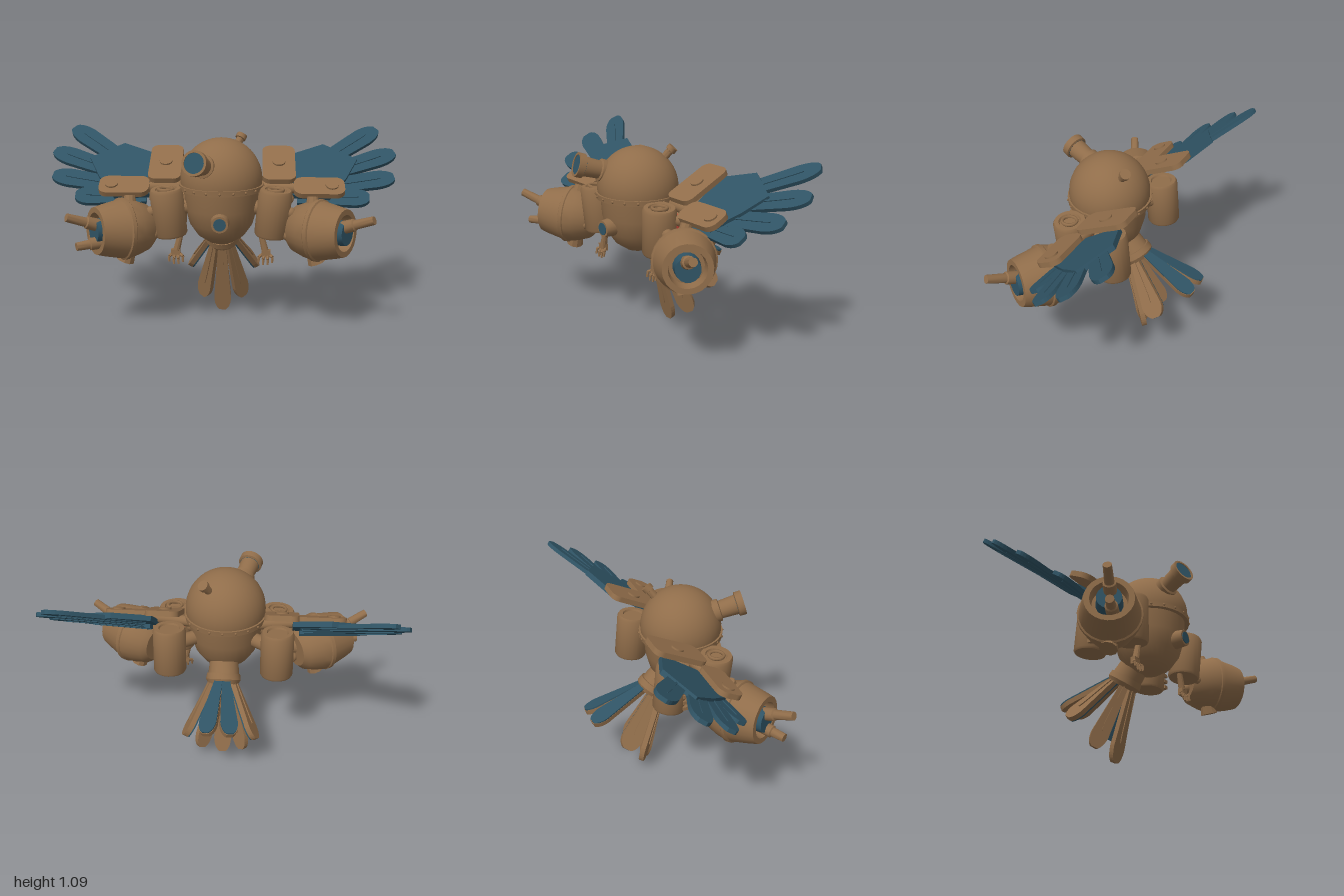
import * as THREE from 'three';
import { toCreasedNormals } from 'three/addons/utils/BufferGeometryUtils.js';

const V = (x, y, z) => new THREE.Vector3(x, y, z);
const paint = (name, color) => Object.assign(new THREE.MeshStandardMaterial({ color }), { name });

export function createModel() {
  const brown = paint('bronze', 0x906d4a);
  const blue = paint('dark teal', 0x2f5364);
  const red = paint('red', 0xc9483a);
  const root = new THREE.Group();
  root.name = 'mechanicalBird';

  const add = (parent, name, geo, mat, pos) => {
    const m = new THREE.Mesh(geo, mat);
    m.name = name;
    if (pos) m.position.copy(pos);
    parent.add(m);
    return m;
  };
  // Turned part whose profile [radius, distance] runs from a towards b
  const turned = (parent, name, mat, a, b, profile, sides = 24) => {
    const pts = profile.map(([r, t]) => new THREE.Vector2(r, t));
    const geo = toCreasedNormals(new THREE.LatheGeometry(pts, sides), 0.6);
    const m = add(parent, name, geo, mat, a);
    m.quaternion.setFromUnitVectors(V(0, 1, 0), b.clone().sub(a).normalize());
    return m;
  };
  // Tapered solid rod from a to b
  const rod = (parent, name, mat, a, b, ra, rb = ra, sides = 16) => {
    const l = a.distanceTo(b);
    return turned(parent, name, mat, a, b, [[0, 0], [ra, 0], [rb, l], [0, l]], sides);
  };
  // Flat outline extruded along a normal, its y axis laid along dir
  const slab = (parent, name, mat, shape, th, origin, dir, normal) => {
    const y = dir.clone().normalize();
    const x = y.clone().cross(normal).normalize();
    const z = x.clone().cross(y);
    const geo = new THREE.ExtrudeGeometry(shape, { depth: th, bevelEnabled: false, curveSegments: 6 });
    geo.translate(0, 0, -th / 2);
    geo.applyMatrix4(new THREE.Matrix4().makeBasis(x, y, z));
    return add(parent, name, geo, mat, origin);
  };
  const featherShape = (l, w0, w1) => {
    const s = new THREE.Shape();
    s.moveTo(-w0 / 2, 0);
    s.lineTo(w0 / 2, 0);
    s.lineTo(w1 / 2, l * 0.8);
    s.quadraticCurveTo(w1 * 0.48, l * 0.95, w1 * 0.18, l);
    s.lineTo(-w1 * 0.18, l);
    s.quadraticCurveTo(-w1 * 0.48, l * 0.95, -w1 / 2, l * 0.8);
    return s;
  };
  const roundRect = (w, h, r) => {
    const s = new THREE.Shape();
    s.absarc(w / 2 - r, h / 2 - r, r, 0, Math.PI / 2);
    s.absarc(-w / 2 + r, h / 2 - r, r, Math.PI / 2, Math.PI);
    s.absarc(-w / 2 + r, -h / 2 + r, r, Math.PI, Math.PI * 1.5);
    s.absarc(w / 2 - r, -h / 2 + r, r, Math.PI * 1.5, Math.PI * 2);
    return s;
  };

  // Body: lower bowl, rim band and dome
  const up = V(0, 1, 0);
  turned(root, 'lowerBody', brown, V(0, 0, 0.11), V(0, 1, 0.11),
    [[0, 0.49], [0.07, 0.495], [0.13, 0.535], [0.175, 0.6], [0.2, 0.69], [0.21, 0.81]], 32);
  turned(root, 'rimBand', brown, V(0, 0.795, 0.11), V(0, 1, 0.11),
    [[0.2, 0], [0.233, 0], [0.235, 0.03], [0.2, 0.03]], 32);
  add(root, 'dome', new THREE.SphereGeometry(0.226, 32, 20, 0, Math.PI * 2, 0, 1.8), brown, V(0, 0.85, 0.11));
  for (let i = 0; i < 20; i++) {
    const a = (i / 20) * Math.PI * 2;
    add(root, 'rimRivet', new THREE.SphereGeometry(0.008, 6, 5), brown,
      V(Math.sin(a) * 0.233, 0.81, 0.11 + Math.cos(a) * 0.233));
  }

  // Eye tube, rear knob and chest nozzle
  const e0 = V(-0.08, 0.94, 0.26), e1 = V(-0.13, 0.995, 0.43);
  turned(root, 'eyeTube', brown, e0, e1, [[0, 0], [0.063, 0], [0.063, 0.045], [0.05, 0.05], [0.055, 0.14],
    [0.068, 0.145], [0.068, 0.182], [0.055, 0.182], [0.055, 0.15]]);
  const eDir = e1.clone().sub(e0).normalize();
  const lens = e0.clone().addScaledVector(eDir, 0.14);
  rod(root, 'eyeLens', blue, lens, lens.clone().addScaledVector(eDir, 0.038), 0.057);
  turned(root, 'rearKnob', brown, V(0.08, 1.01, -0.01), V(0.115, 1.075, -0.055),
    [[0, 0], [0.022, 0], [0.022, 0.05], [0.03, 0.052], [0.03, 0.078], [0, 0.078]], 12);
  rod(root, 'chestNozzle', brown, V(0, 0.65, 0.26), V(0, 0.647, 0.35), 0.055, 0.046);
  rod(root, 'chestLens', blue, V(0, 0.647, 0.345), V(0, 0.647, 0.354), 0.034);

  // Tail: hub with a ring of feathers
  const hub = V(0, 0.47, -0.06), tailAxis = V(0, -0.82, -0.57).normalize();
  rod(root, 'tailNeck', brown, V(0, 0.58, 0.03), hub, 0.08, 0.09);
  turned(root, 'tailHub', brown, V(0, 0.5, -0.04), V(0, 0.5, -0.04).add(tailAxis),
    [[0, 0], [0.095, 0], [0.1, 0.035], [0.085, 0.06], [0, 0.06]]);
  const tail = (x, y, z, w, blueSide) => {
    const tip = V(x, y, z), off = tip.clone().sub(hub);
    const out = off.addScaledVector(tailAxis, -off.dot(tailAxis)).normalize();
    const base = hub.clone().addScaledVector(out, 0.06);
    const dir = tip.clone().sub(base), l = dir.length();
    const n = out.clone().addScaledVector(dir, -out.dot(dir) / (l * l)).normalize();
    slab(root, 'tailFeather', brown, featherShape(l, 0.045, w), 0.028, base, dir, n);
    slab(root, 'tailRib', brown, featherShape(l * 0.75, 0.01, 0.014), 0.04, base, dir, n);
    if (blueSide) slab(root, 'tailFeatherFace', blue, featherShape(l * 0.99, 0.043, w * 0.97), 0.008,
      base.clone().addScaledVector(n, blueSide * 0.018), dir, n);
  };
  tail(0, 0.005, -0.125, 0.1, 0);
  for (const s of [-1, 1]) {
    tail(s * 0.12, 0.07, -0.18, 0.1, 0);
    tail(s * 0.2, 0.24, -0.3, 0.12, -1);
    tail(s * 0.065, 0.37, -0.45, 0.1, 1);
  }

  // Everything on one side of the body, mirrored for the other
  const wingN = V(0, 0.82, 0.57), wingUp = V(0, 0.57, -0.82);
  const onWing = (x, z) => V(x, 0.71 + 0.7 * (0.12 - z), z);
  for (const side of [1, -1]) {
    const g = new THREE.Group();
    g.name = side > 0 ? 'leftSide' : 'rightSide';
    g.scale.x = side;
    root.add(g);

    // Wing
    [[0.45, -0.06, 0.9, -0.37], [0.45, -0.02, 0.99, -0.21], [0.45, 0.03, 0.97, -0.05], [0.42, 0.07, 0.82, 0.08]]
      .forEach(([x0, z0, x1, z1], i) => {
        const a = onWing(x0, z0).addScaledVector(wingN, -0.006 * i), b = onWing(x1, z1);
        const d = b.clone().sub(a), l = d.length();
        slab(g, 'wingFeather', blue, featherShape(l, 0.09, 0.125), 0.022, a, d, wingN);
        slab(g, 'wingRib', blue, featherShape(l * 0.85, 0.012, 0.01), 0.032, a, d, wingN);
      });
    const panel = new THREE.Shape([[0.38, 0.05], [0.6, 0.03], [0.7, 0.18], [0.77, 0.33], [0.58, 0.45], [0.38, 0.36]]
      .map(([x, y]) => new THREE.Vector2(x, y)));
    slab(g, 'wingPanel', blue, panel, 0.03, V(0, 0.718, 0.125), wingUp, wingN);

    // Sloped shoulder plates with round bosses
    const plN = V(0, 0.9, 0.44), plUp = V(0, 0.44, -0.9);
    const plate = (c, w, h, r, bx) => {
      slab(g, 'shoulderPlate', brown, roundRect(w, h, r), 0.03, c, plUp, plN);
      const p = c.clone().add(V(bx, 0, 0));
      rod(g, 'plateBoss', brown, p, p.clone().addScaledVector(plN, 0.024), 0.036);
    };
    plate(V(0.32, 0.9, -0.055), 0.185, 0.32, 0.045, 0);
    plate(V(0.54, 0.8, 0.1), 0.28, 0.15, 0.05, 0.07);
    rod(g, 'shoulderBar', brown, V(0.15, 0.79, 0.03), V(0.44, 0.79, 0.08), 0.03);

    // Front and rear tanks
    const tank = [[0, 0], [0.085, 0], [0.092, 0.012], [0.092, 0.25], [0.084, 0.265], [0.06, 0.265], [0.055, 0.255], [0, 0.255]];
    turned(g, 'frontTank', brown, V(0.275, 0.545, 0.175), V(0.3, 0.81, 0.19), tank);
    turned(g, 'rearTank', brown, V(0.3, 0.54, -0.085), V(0.3, 0.81, -0.06), tank);
    add(g, 'tankCapRing', new THREE.TorusGeometry(0.04, 0.01, 6, 16).rotateX(Math.PI / 2), brown, V(0.3, 0.805, 0.19));
    rod(g, 'tankBracket', brown, V(0.12, 0.7, 0.14), V(0.28, 0.7, 0.17), 0.04);
    rod(g, 'tankBracket', brown, V(0.12, 0.7, 0.05), V(0.29, 0.7, -0.07), 0.04);
    for (let i = 0; i < 6; i++) {
      add(g, 'tankTooth', new THREE.BoxGeometry(0.03, 0.02, 0.035), brown, V(0.375, 0.57 + i * 0.038, -0.022));
    }
    add(g, 'redCore', new THREE.BoxGeometry(0.07, 0.08, 0.08), red, V(0.27, 0.69, 0.06));

    // Engine pod facing outward and forward
    const p0 = V(0.4, 0.578, 0.125), p1 = V(0.67, 0.595, 0.3);
    turned(g, 'enginePod', brown, p0, p1, [[0, 0], [0.1, 0], [0.13, 0.03], [0.155, 0.1], [0.166, 0.15], [0.172, 0.155],
      [0.172, 0.175], [0.163, 0.18], [0.142, 0.28], [0.13, 0.325], [0.1, 0.325], [0.092, 0.26], [0, 0.26]]);
    const pd = p1.clone().sub(p0).normalize();
    const c = p0.clone().addScaledVector(pd, 0.25);
    rod(g, 'engineCore', blue, c, c.clone().addScaledVector(pd, 0.085), 0.072, 0.066);
    const gun = (a, b) => turned(g, 'barrel', brown, a, b,
      [[0, 0], [0.036, 0], [0.034, 0.09], [0.026, 0.095], [0.023, a.distanceTo(b)], [0, a.distanceTo(b)]], 12);
    gun(V(0.64, 0.62, 0.29), V(0.81, 0.69, 0.385));
    if (side < 0) gun(V(0.62, 0.535, 0.29), V(0.765, 0.525, 0.37));
    rod(g, 'podVent', brown, V(0.5, 0.48, 0.2), V(0.53, 0.4, 0.2), 0.035, 0.05, 10);
    rod(g, 'podTopLug', brown, V(0.5, 0.7, 0.19), V(0.5, 0.765, 0.17), 0.04, 0.03, 10);

    // Joints between tank and pod
    rod(g, 'podAxle', brown, V(0.28, 0.62, 0.14), V(0.42, 0.59, 0.15), 0.045);
    [[0.37, 0.74, 0.11], [0.38, 0.68, 0.2], [0.37, 0.56, 0.22], [0.385, 0.53, 0.12]].forEach(([x, y, z]) =>
      add(g, 'jointBall', new THREE.SphereGeometry(0.032, 12, 8), brown, V(x, y, z)));

    // Small arm and hand
    rod(g, 'forearm', brown, V(0.22, 0.56, 0.18), V(0.245, 0.46, 0.18), 0.016, 0.02, 10);
    add(g, 'palm', new THREE.BoxGeometry(0.05, 0.04, 0.03), brown, V(0.25, 0.445, 0.18));
    for (let i = 0; i < 4; i++) {
      const x = 0.21 + i * 0.025;
      const knuckle = V(x, 0.415 + (i % 3 ? 0 : 0.012), 0.2);
      rod(g, 'finger', brown, V(0.232 + i * 0.012, 0.44, 0.18), knuckle, 0.009, 0.009, 6);
      rod(g, 'fingertip', brown, knuckle, knuckle.clone().add(V(0, -0.03, 0.005)), 0.009, 0.006, 6);
    }
  }
  return root;
}
